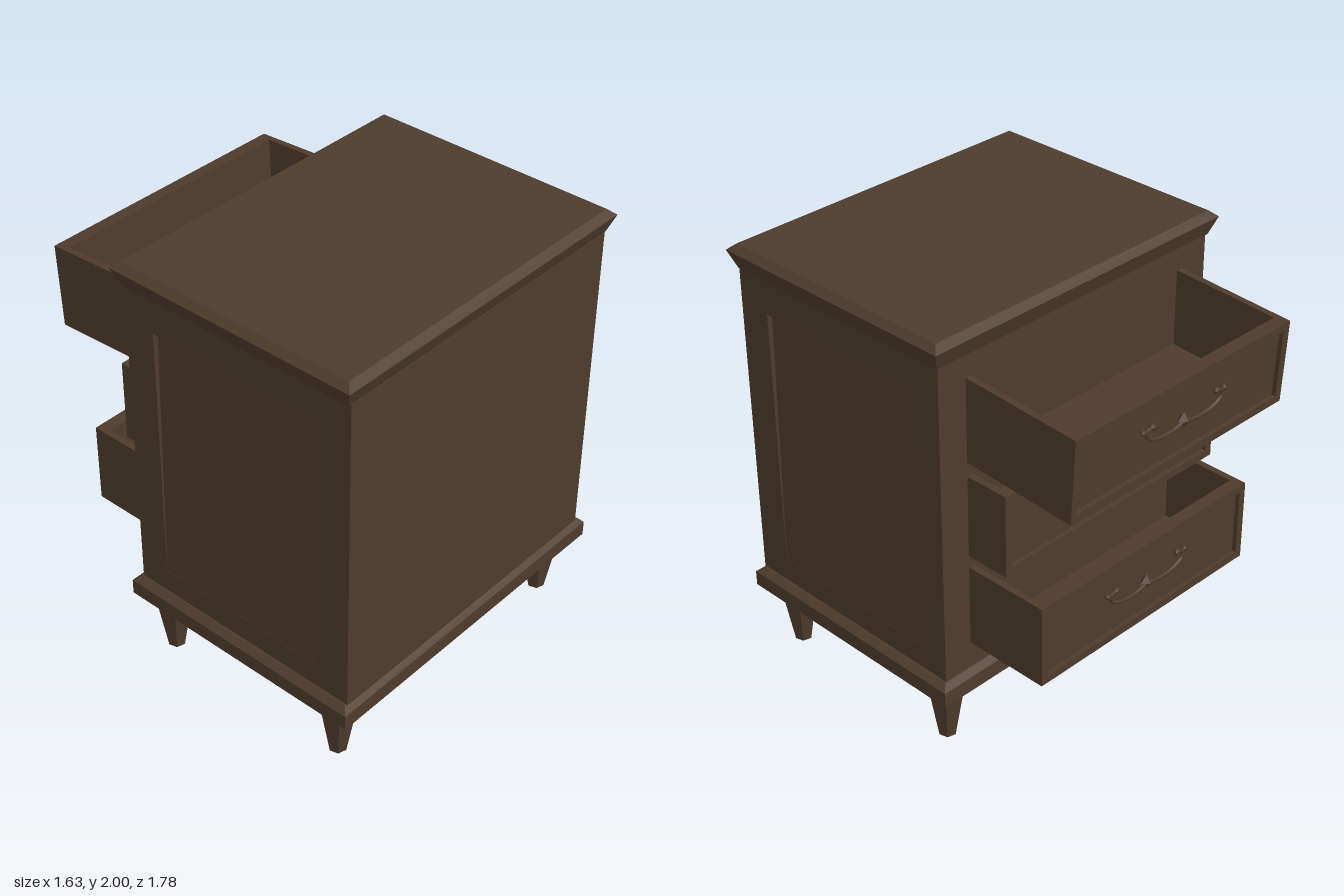
import * as THREE from 'three';

const wood = new THREE.MeshStandardMaterial({ color: 0x4e3c2d });
wood.name = 'darkWood';
const CZ = 0.28; // centre of the cabinet in z
const FACE = -0.3; // z of the face the drawers slide out of

function add(parent, name, geometry, x = 0, y = 0, z = 0) {
  const mesh = new THREE.Mesh(geometry, wood);
  mesh.name = name;
  mesh.position.set(x, y, z);
  parent.add(mesh);
  return mesh;
}

// Solid from stacked rectangles, each [y, halfX, halfZ]
function stack(levels) {
  const rings = levels.map(([y, hx, hz]) => [[-hx, y, hz], [hx, y, hz], [hx, y, -hz], [-hx, y, -hz]]);
  const pos = [];
  const quad = (a, b, c, d) => pos.push(...a, ...b, ...c, ...a, ...c, ...d);
  for (let i = 0; i < rings.length - 1; i++) {
    for (let k = 0; k < 4; k++) {
      const n = (k + 1) % 4;
      quad(rings[i][k], rings[i][n], rings[i + 1][n], rings[i + 1][k]);
    }
  }
  quad(...rings[rings.length - 1]);
  quad(...[...rings[0]].reverse());
  const g = new THREE.BufferGeometry();
  g.setAttribute('position', new THREE.Float32BufferAttribute(pos, 3));
  g.computeVertexNormals();
  return g;
}

function rect(target, x0, y0, x1, y1) {
  target.moveTo(x0, y0);
  target.lineTo(x1, y0);
  target.lineTo(x1, y1);
  target.lineTo(x0, y1);
  target.closePath();
  return target;
}

// Flat frame: outer and inner rectangles as [x0, y0, x1, y1]
function frame(outer, inner, depth) {
  const shape = rect(new THREE.Shape(), ...outer);
  shape.holes.push(rect(new THREE.Path(), ...inner));
  return new THREE.ExtrudeGeometry(shape, { depth, bevelEnabled: false });
}

// Curved pull with a faceted centre boss; it projects towards -z
function makeHandle() {
  const handle = new THREE.Group();
  handle.name = 'handle';
  const boss = add(handle, 'handleBoss', new THREE.OctahedronGeometry(0.034), 0, 0, -0.008);
  boss.scale.z = 0.8;
  for (const s of [-1, 1]) {
    const path = new THREE.CatmullRomCurve3([
      [0, -0.005, -0.014], [0.08, -0.018, -0.016], [0.16, -0.012, -0.016],
      [0.215, 0.012, -0.014], [0.225, 0.042, -0.012], [0.19, 0.052, -0.01],
    ].map(([x, y, z]) => new THREE.Vector3(x * s, y, z)));
    add(handle, 'handleArm', new THREE.TubeGeometry(path, 20, 0.009, 6));
    add(handle, 'handleKnob', new THREE.IcosahedronGeometry(0.017), 0.19 * s, 0.052, -0.01);
    add(handle, 'handleTip', new THREE.IcosahedronGeometry(0.014), 0.24 * s, 0.045, -0.008);
  }
  return handle;
}

// Open drawer; the origin is the middle of its opening in the cabinet face
function makeDrawer(name, y, reach, tilt) {
  const drawer = new THREE.Group();
  drawer.name = name;
  const W = 0.63, H = 0.192, T = 0.03, tuck = 0.03;
  const length = reach + tuck - 0.02;
  const mid = tuck - length / 2;
  for (const s of [-1, 1]) {
    add(drawer, 'drawerSide', new THREE.BoxGeometry(T, 2 * H, length), s * (W - T / 2), 0, mid);
  }
  add(drawer, 'drawerBottom', new THREE.BoxGeometry(2 * W - 2 * T, T, length), 0, -H + T / 2, mid);
  add(drawer, 'drawerFront', new THREE.BoxGeometry(2 * W - 2 * T, 2 * H, 0.04), 0, 0, -reach + 0.04);
  add(drawer, 'drawerFrontFrame',
    frame([-W, -H, W, H], [-W + 0.035, -H + 0.035, W - 0.035, H - 0.035], 0.02), 0, 0, -reach);
  const handle = makeHandle();
  handle.position.z = -reach + 0.012;
  drawer.add(handle);
  drawer.position.set(0, y, FACE);
  drawer.rotation.x = tilt;
  return drawer;
}

export function createModel() {
  const model = new THREE.Group();
  model.name = 'bedsideCabinet';

  // Cabinet core, its sides leaning in so the side panels sink towards the top
  const core = new THREE.Shape();
  const half = [[0.774, 0.37], [0.774, 0.5], [0.75, 1.73], [0.75, 1.9]];
  core.setFromPoints([
    ...half.map(([x, y]) => new THREE.Vector2(x, y)),
    ...half.map(([x, y]) => new THREE.Vector2(-x, y)).reverse(),
  ]);
  add(model, 'cabinetBody', new THREE.ExtrudeGeometry(core, { depth: 1.15, bevelEnabled: false }), 0, 0, -0.29);

  // Front and rear faces
  add(model, 'drawerFace', new THREE.BoxGeometry(1.55, 1.52, 0.02), 0, 1.135, FACE + 0.01);
  add(model, 'plainFace', new THREE.BoxGeometry(1.55, 1.52, 0.02), 0, 1.135, 0.86);

  // Side frames around the sunken panels
  for (const s of [-1, 1]) {
    const g = frame([-0.87, 0.375, 0.3, 1.895], [-0.71, 0.5, 0.15, 1.73], 0.035);
    g.rotateY(Math.PI / 2);
    add(model, 'sideFrame', g, s > 0 ? 0.74 : -0.775, 0, 0);
  }

  // Flared top and bevelled plinth
  add(model, 'top', stack([[1.89, 0.783, 0.585], [1.972, 0.815, 0.616], [2.0, 0.783, 0.584]]), 0, 0, CZ);
  add(model, 'plinth', stack([[0.29, 0.813, 0.613], [0.362, 0.813, 0.613], [0.387, 0.783, 0.585]]), 0, 0, CZ);

  // Tapered faceted legs
  for (const x of [-0.695, 0.68]) {
    for (const z of [0.752, -0.2]) {
      const leg = new THREE.CylinderGeometry(0.092, 0.04, 0.3, 6).toNonIndexed();
      leg.computeVertexNormals();
      const mesh = add(model, 'leg', leg, x, 0.15, z);
      mesh.rotation.y = Math.PI / 12;
    }
  }

  // Drawers pulled out by different amounts, the top one sagging
  model.add(makeDrawer('topDrawer', 1.595, 0.565, -0.053));
  model.add(makeDrawer('middleDrawer', 1.145, 0.21, 0));
  model.add(makeDrawer('bottomDrawer', 0.705, 0.41, 0));
  return model;
}
